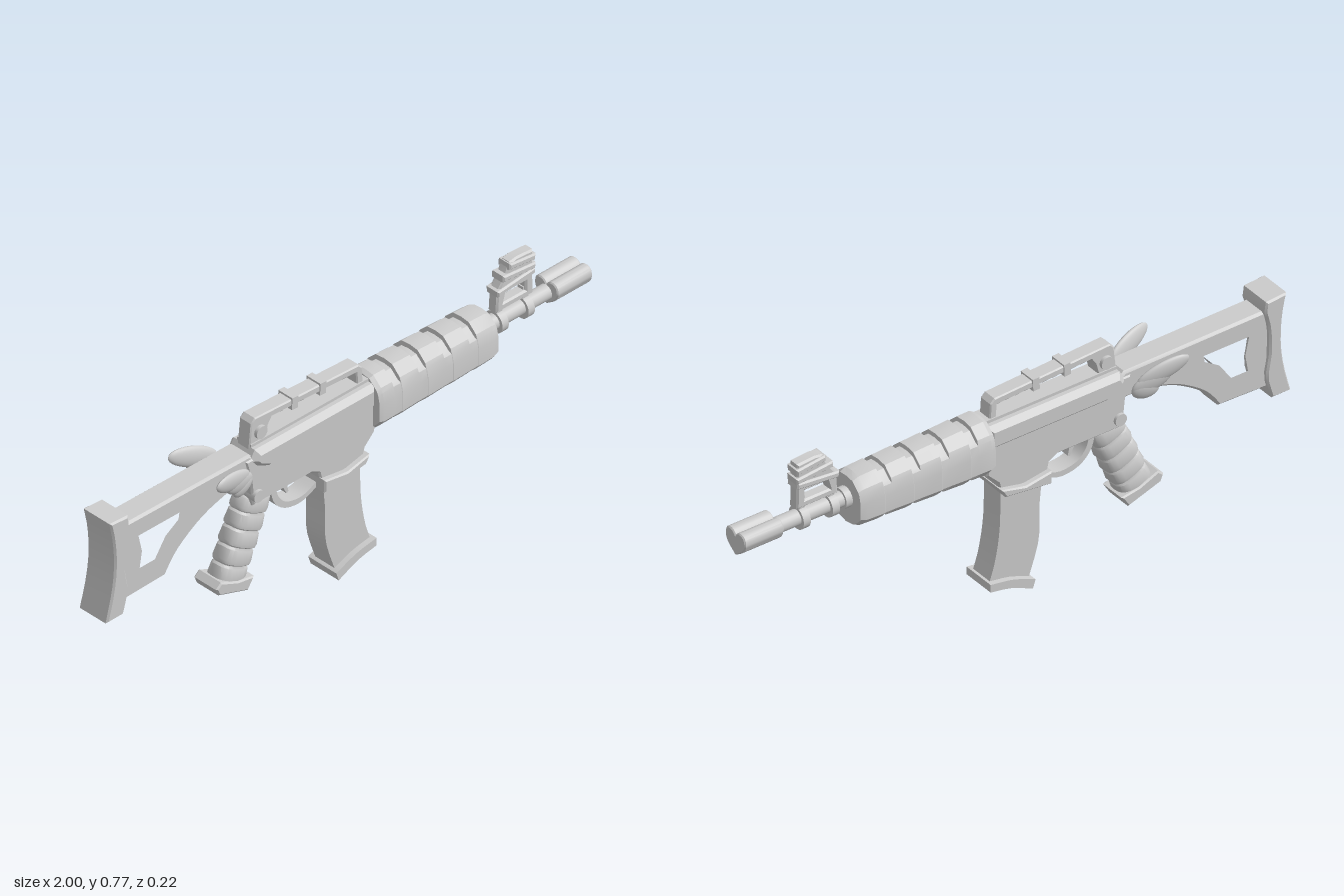
import * as THREE from 'three';
import { toCreasedNormals } from 'three/addons/utils/BufferGeometryUtils.js';

const mat = new THREE.MeshStandardMaterial({ color: 0xcccccc });
const V = (p) => new THREE.Vector2(p[0], p[1]);

export function createModel() {
  const model = new THREE.Group();

  const add = (name, geo, x = 0, y = 0, z = 0, rz = 0) => {
    const m = new THREE.Mesh(geo, mat);
    m.name = name;
    m.position.set(x, y, z);
    m.rotation.z = rz;
    model.add(m);
    return m;
  };

  // Side outline extruded symmetrically to z = +-half, with an optional bevel
  const slab = (pts, half, { holes = [], bevel = 0 } = {}) => {
    const shape = new THREE.Shape(pts.map(V));
    holes.forEach((h) => shape.holes.push(new THREE.Path(h.map(V))));
    const g = new THREE.ExtrudeGeometry(shape, {
      depth: 2 * (half - bevel), bevelEnabled: bevel > 0, bevelSize: bevel,
      bevelThickness: bevel, bevelOffset: -bevel, bevelSegments: 1,
    });
    g.translate(0, 0, -(half - bevel));
    return toCreasedNormals(g, 0.5);
  };

  // Smooth run of points through a few guide points
  const curve = (pts, n = 10) =>
    new THREE.SplineCurve(pts.map(V)).getPoints(n).map((p) => [p.x, p.y]);

  // Closed loft: rings of equal length, capped at both ends
  const loft = (rings, crease = 0.5) => {
    const n = rings[0].length, pos = rings.flat(2), idx = [];
    for (let i = 0; i < rings.length - 1; i++) {
      for (let j = 0; j < n; j++) {
        const a = i * n + j, b = i * n + (j + 1) % n;
        idx.push(a, b, a + n, b, b + n, a + n);
      }
    }
    const last = (rings.length - 1) * n;
    for (let j = 1; j < n - 1; j++) idx.push(0, j + 1, j, last, last + j, last + j + 1);
    const g = new THREE.BufferGeometry();
    g.setAttribute('position', new THREE.Float32BufferAttribute(pos, 3));
    g.setIndex(idx);
    return toCreasedNormals(g, crease);
  };

  const rodX = (r, len, seg = 20) => new THREE.CylinderGeometry(r, r, len, seg).rotateZ(Math.PI / 2);
  const rodZ = (r, len, seg = 16) => new THREE.CylinderGeometry(r, r, len, seg).rotateX(Math.PI / 2);

  // Butt plate with concave front and back
  add('buttPlate', slab([
    ...curve([[-1, 0.32], [-0.975, 0.42], [-0.965, 0.51], [-0.97, 0.6], [-0.985, 0.675]]),
    [-0.91, 0.67], ...curve([[-0.905, 0.635], [-0.92, 0.57], [-0.922, 0.48], [-0.91, 0.4], [-0.93, 0.32]]),
  ], 0.06, { bevel: 0.006 }));

  // Skeleton stock
  add('stock', slab([
    [-0.93, 0.63], [-0.4, 0.625], [-0.37, 0.6], [-0.37, 0.53],
    ...curve([[-0.48, 0.53], [-0.59, 0.495], [-0.69, 0.43], [-0.745, 0.36]], 12), [-0.925, 0.355],
  ], 0.045, {
    bevel: 0.008,
    holes: [[[-0.865, 0.57], [-0.68, 0.57], [-0.685, 0.535], [-0.74, 0.5], [-0.785, 0.435], [-0.86, 0.435], [-0.85, 0.5]]],
  }));

  // Receiver: lower body, wider upper body and top rail
  add('receiver', slab([
    [-0.42, 0.61], [0.12, 0.61], [0.11, 0.46], [0.07, 0.42], [0.06, 0.385], [-0.11, 0.375],
    [-0.12, 0.42], [-0.15, 0.437], [-0.39, 0.437], [-0.4, 0.53],
  ], 0.05, { bevel: 0.006 }));
  add('upperReceiver', slab([
    [-0.4, 0.6], [-0.38, 0.635], [0.11, 0.635], [0.11, 0.55], [-0.33, 0.55], [-0.38, 0.575],
  ], 0.062, { bevel: 0.018 }));
  add('topRail', new THREE.BoxGeometry(0.48, 0.02, 0.06), -0.14, 0.635);
  add('rearPin', rodZ(0.021, 0.12), -0.375, 0.47);
  add('receiverCollar', slab([
    [-0.115, 0.4], [-0.115, 0.355], [0.055, 0.375], [0.07, 0.405], [-0.02, 0.385],
  ], 0.07, { bevel: 0.005 }));

  // Carry handle with clips and adjusting knob
  add('carryHandle', slab([
    [-0.385, 0.62], [-0.375, 0.715], [-0.36, 0.73], [0.065, 0.71], [0.08, 0.695], [0.085, 0.62],
    [0.06, 0.62], [0.055, 0.685], [-0.29, 0.702], [-0.305, 0.68], [-0.32, 0.62],
  ], 0.026, { bevel: 0.004 }));
  for (const x of [-0.2, -0.085]) {
    add('handleClip', new THREE.BoxGeometry(0.024, 0.042, 0.06), x, 0.708 - 0.047 * (x + 0.2), 0, -0.05);
  }
  add('sightKnob', rodZ(0.022, 0.075), -0.342, 0.675);

  // Wings: three overlapping feathers on each side, swept back and out
  for (const side of [1, -1]) {
    const wing = new THREE.Group();
    wing.name = side > 0 ? 'leftWing' : 'rightWing';
    [[-0.508, 0.608, 0.088, 0.034, -0.32], [-0.475, 0.58, 0.068, 0.036, -0.35], [-0.455, 0.556, 0.045, 0.034, 0.1]]
      .forEach(([x, y, a, b, rot]) => {
        const g = new THREE.SphereGeometry(1, 20, 14).scale(a, b, 0.015).rotateZ(rot).translate(x, y, 0);
        const p = g.attributes.position;
        for (let i = 0; i < p.count; i++) {
          const out = 0.064 + 0.17 * (-0.41 - p.getX(i)) + 0.12 * (p.getY(i) - 0.56);
          p.setZ(i, p.getZ(i) + side * out);
        }
        g.computeVertexNormals();
        const feather = new THREE.Mesh(g, mat);
        feather.name = 'feather';
        wing.add(feather);
      });
    model.add(wing);
  }

  // Pistol grip: wrapped bands stepping down a slanted axis
  const gripRings = [];
  const bands = 5;
  for (let b = 0; b < bands; b++) {
    for (const [f, grow] of [[0, 0.9], [0.12, 1], [0.72, 1.06], [0.9, 1.02], [0.97, 0.9]]) {
      const t = (b + f) / bands, ring = [];
      for (let j = 0; j < 20; j++) {
        const a = (j / 20) * Math.PI * 2, c = Math.cos(a), s = Math.sin(a);
        const u = Math.sign(c) * Math.abs(c) ** 0.7 * 0.054 * grow;
        const w = Math.sign(s) * Math.abs(s) ** 0.7 * 0.042 * grow;
        const lean = 0.36 + 0.2 * Math.sin(t * Math.PI) * (s > 0 ? 1 : 0.6);
        ring.push([-0.345 - 0.115 * t + u, 0.445 - 0.265 * t - u * lean, w]);
      }
      gripRings.push(ring);
    }
  }
  add('pistolGrip', loft(gripRings.map((r) => r.slice().reverse()).reverse().map((r) => r.slice().reverse()).reverse(), 0.6));
  add('gripCap', slab([
    [-0.54, 0.205], [-0.53, 0.18], [-0.41, 0.14], [-0.385, 0.18], [-0.45, 0.192], [-0.52, 0.222],
  ], 0.05, { bevel: 0.005 }));

  // Trigger and guard
  const guardOuter = curve([[-0.3, 0.437], [-0.285, 0.385], [-0.24, 0.345], [-0.17, 0.335], [-0.1, 0.365]], 14);
  const guardInner = curve([[-0.1, 0.385], [-0.165, 0.355], [-0.23, 0.363], [-0.265, 0.395], [-0.28, 0.437]], 14);
  add('triggerGuard', slab([...guardOuter, ...guardInner], 0.03));
  add('trigger', slab([
    ...curve([[-0.25, 0.44], [-0.235, 0.41], [-0.22, 0.38]], 5),
    ...curve([[-0.212, 0.385], [-0.218, 0.415], [-0.215, 0.44]], 5),
  ], 0.014));

  // Curved magazine and its base
  add('magazine', slab([
    ...curve([[-0.1, 0.39], [-0.088, 0.27], [-0.085, 0.15], [-0.048, 0.03]]),
    ...curve([[0.1, 0.06], [0.075, 0.14], [0.058, 0.25], [0.055, 0.39]]),
  ], 0.041));
  add('magazineBase', slab([
    [-0.06, 0.03], [-0.05, 0], ...curve([[-0.04, 0.005], [0.03, 0.035], [0.105, 0.05]], 6),
    [0.105, 0.077], ...curve([[0.09, 0.075], [0.02, 0.062], [-0.055, 0.033]], 6),
  ], 0.06));

  // Handguard: tapered faceted shell with vent slots cut above and below
  const section = [
    [0, 0.1], [0.035, 0.096], [0.068, 0.065], [0.075, 0.05], [0.082, 0.015], [0.082, -0.05],
    [0.068, -0.068], [0.04, -0.095], [0, -0.104],
  ];
  const outline = [...section, ...section.slice(1, -1).reverse().map(([z, y]) => [-z, y])];
  const guardRing = (x, grow, cut) => {
    const taper = 1 - 0.22 * (x - 0.1);
    return outline.map(([z, y]) => {
      const k = taper * grow * (cut && Math.abs(y) > 0.06 ? 0.86 : 1);
      return [x, 0.558 + y * k, z * (1 + (k - 1) * 0.6)];
    });
  };
  const guardRings = [guardRing(0.1, 0.92), guardRing(0.115, 1)];
  for (let i = 0; i < 4; i++) {
    const x = 0.16 + i * 0.105;
    guardRings.push(guardRing(x, 1), guardRing(x + 0.002, 1, true), guardRing(x + 0.03, 1, true), guardRing(x + 0.032, 1.02));
  }
  guardRings.push(guardRing(0.57, 1), guardRing(0.592, 0.9));
  add('handguard', loft(guardRings, 0.35));

  // Barrel with heart-section muzzle
  add('barrel', rodX(0.026, 0.34), 0.72, 0.565);
  add('barrelCollar', rodX(0.034, 0.03), 0.6, 0.565);
  const heart = new THREE.Shape();
  heart.moveTo(0, 0.028);
  heart.bezierCurveTo(0.012, 0.05, 0.05, 0.05, 0.05, 0.014);
  heart.bezierCurveTo(0.05, -0.016, 0.018, -0.03, 0, -0.044);
  heart.bezierCurveTo(-0.018, -0.03, -0.05, -0.016, -0.05, 0.014);
  heart.bezierCurveTo(-0.05, 0.05, -0.012, 0.05, 0, 0.028);
  const muzzle = new THREE.ExtrudeGeometry(heart, {
    depth: 0.136, bevelEnabled: true, bevelSize: 0.004, bevelThickness: 0.004,
    bevelOffset: -0.004, bevelSegments: 1, curveSegments: 10,
  }).rotateY(Math.PI / 2);
  add('heartMuzzle', toCreasedNormals(muzzle, 0.5), 0.86, 0.565);

  // Front sight: clamps, posts, windowed blade and wrapped bands
  for (const x of [0.655, 0.762]) {
    add('sightClamp', rodX(0.038, 0.026), x, 0.562);
    add('sightPost', new THREE.BoxGeometry(0.022, 0.06, 0.024), x, 0.61);
  }
  add('frontSight', slab([
    [0.635, 0.605], [0.64, 0.68], [0.675, 0.73], [0.69, 0.765], [0.72, 0.77], [0.785, 0.765], [0.787, 0.605],
  ], 0.02, { bevel: 0.006, holes: [[[0.665, 0.63], [0.755, 0.63], [0.755, 0.662], [0.675, 0.662]]] }));
  [[0.712, 0.683, 0.155, 0.1], [0.724, 0.714, 0.135, -0.1], [0.737, 0.746, 0.108, -0.12]].forEach(([x, y, w, rot]) => {
    const h = 0.011;
    add('sightBand', slab([[-w / 2, -h], [w / 2, -h], [w / 2, h], [-w / 2, h]], 0.027, { bevel: 0.005 }), x, y, 0, rot);
  });

  return model;
}
